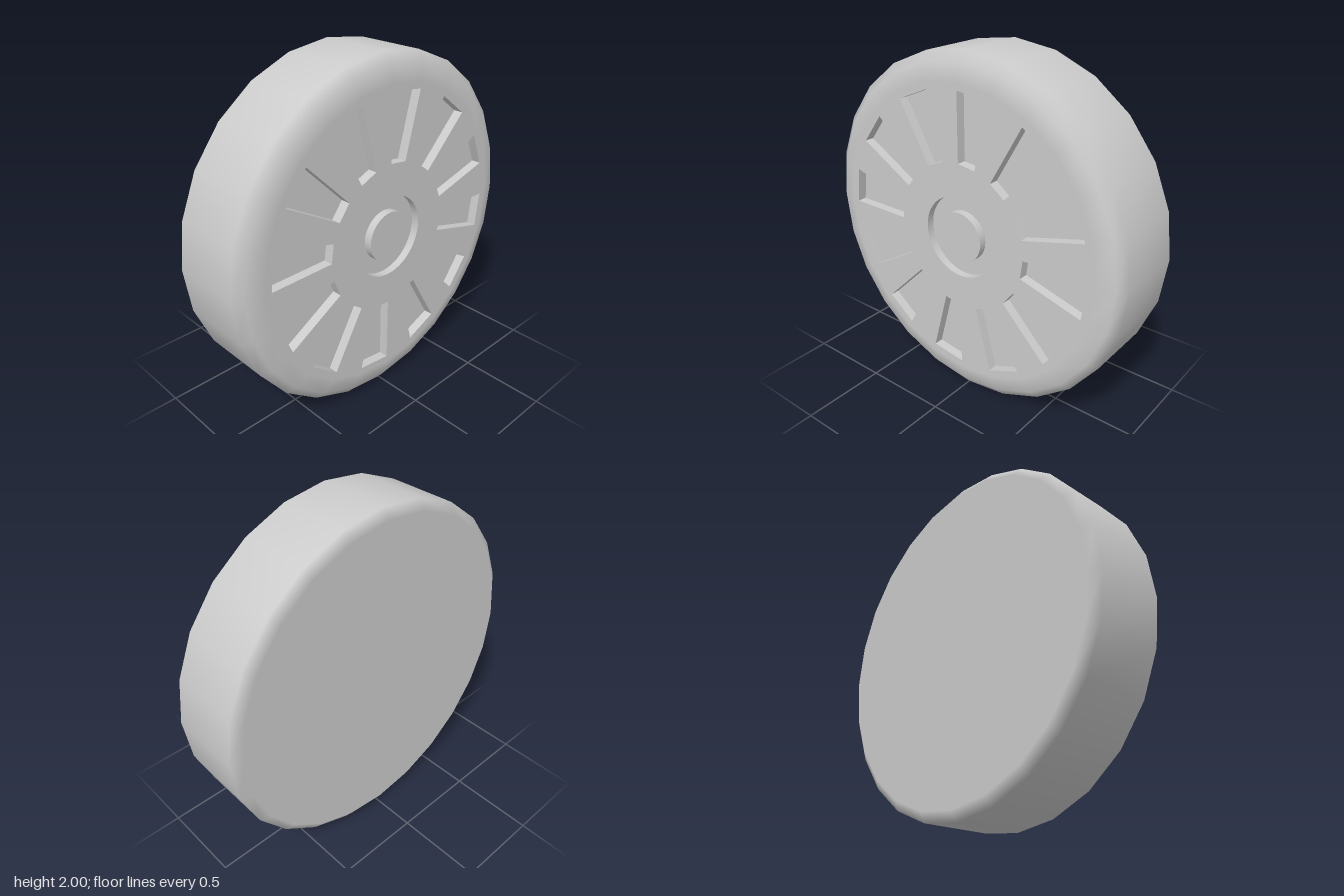
import * as THREE from 'three';
import { toCreasedNormals } from 'three/addons/utils/BufferGeometryUtils.js';

const SIDES = 24, HUB_SIDES = 48, SLOTS = 12;
const FACE_X = 0.26, BACK_X = -0.26;
const FACE_R = 0.85, BACK_R = 0.945;
const GROOVE_R = 0.235, HUB_R = 0.145, GROOVE_DEPTH = 0.045;
const SLOT_OUT = 0.81, SLOT_IN = 0.425, SLOT_DEPTH = 0.055;

const material = new THREE.MeshStandardMaterial({ color: 0xcccccc });

// Point at a clockwise angle from the top of the wheel face
const polar = (r, a) => new THREE.Vector2(r * Math.sin(a), r * Math.cos(a));
const ring = (r, n) => Array.from({ length: n }, (_, i) => polar(r, (i / n) * Math.PI * 2));

// Lathe whose axis lies along x; points are [radius, x]
function axleLathe(points, sides) {
  return new THREE.LatheGeometry(points.map(([r, x]) => new THREE.Vector2(r, x)), sides);
}

// Walls and floor of one recessed slot, corners counter-clockwise
function pocketGeometry(corners, depth) {
  const top = corners.map((p) => [p.x, p.y, 0]);
  const low = corners.map((p) => [p.x, p.y, -depth]);
  const pos = [];
  const quad = (a, b, c, d) => pos.push(...a, ...b, ...c, ...a, ...c, ...d);
  for (let i = 0; i < 4; i++) {
    const j = (i + 1) % 4;
    quad(top[i], top[j], low[j], low[i]);
  }
  quad(...low);
  const geo = new THREE.BufferGeometry();
  geo.setAttribute('position', new THREE.Float32BufferAttribute(pos, 3));
  geo.computeVertexNormals();
  return geo;
}

export function createModel() {
  const wheel = new THREE.Group();
  wheel.name = 'wheel';
  const add = (name, geo, parent = wheel) => {
    const mesh = new THREE.Mesh(geo, material);
    mesh.name = name;
    parent.add(mesh);
    return mesh;
  };

  // Tread with rounded shoulders, shading blended into the flat faces
  const profile = [
    [BACK_R, BACK_X], [1, -0.22], [1, 0.195], [0.95, 0.235], [FACE_R, FACE_X],
  ];
  const tread = axleLathe(profile, SIDES);
  const normals = tread.attributes.normal;
  for (let i = 0; i < normals.count; i++) {
    const k = i % profile.length;
    if (k === 0) normals.setXYZ(i, 0, -1, 0);
    if (k === profile.length - 1) normals.setXYZ(i, 0, 1, 0);
  }
  tread.rotateZ(-Math.PI / 2);
  add('tread', tread);

  // Plain back
  const back = add('backFace', new THREE.CircleGeometry(BACK_R, SIDES).rotateY(-Math.PI / 2));
  back.position.x = BACK_X;

  // Outer face with openings for the slots and the hub groove
  const face = new THREE.Shape(ring(FACE_R, SIDES));
  face.holes.push(new THREE.Path(ring(GROOVE_R, HUB_SIDES)));
  const slots = new THREE.Group();
  slots.name = 'slots';
  wheel.add(slots);
  for (let i = 0; i < SLOTS; i++) {
    const a = (i / SLOTS) * Math.PI * 2;
    const b = a + Math.PI / SLOTS;
    const corners = [polar(SLOT_OUT, a), polar(SLOT_IN, a), polar(SLOT_IN, b), polar(SLOT_OUT, b)];
    face.holes.push(new THREE.Path(corners));
    const slot = add('slot', pocketGeometry(corners, SLOT_DEPTH).rotateY(Math.PI / 2), slots);
    slot.position.x = FACE_X;
  }
  const front = add('spokedFace', new THREE.ShapeGeometry(face).rotateY(Math.PI / 2));
  front.position.x = FACE_X;

  // Round groove around a hub flush with the face
  const floorX = FACE_X - GROOVE_DEPTH;
  const hub = axleLathe([
    [GROOVE_R, FACE_X], [GROOVE_R, floorX], [HUB_R, floorX], [HUB_R, FACE_X], [0, FACE_X],
  ], HUB_SIDES);
  add('hub', toCreasedNormals(hub, 0.6).rotateZ(-Math.PI / 2));

  wheel.position.y = 1;
  const model = new THREE.Group();
  model.name = 'model';
  model.add(wheel);
  return model;
}
